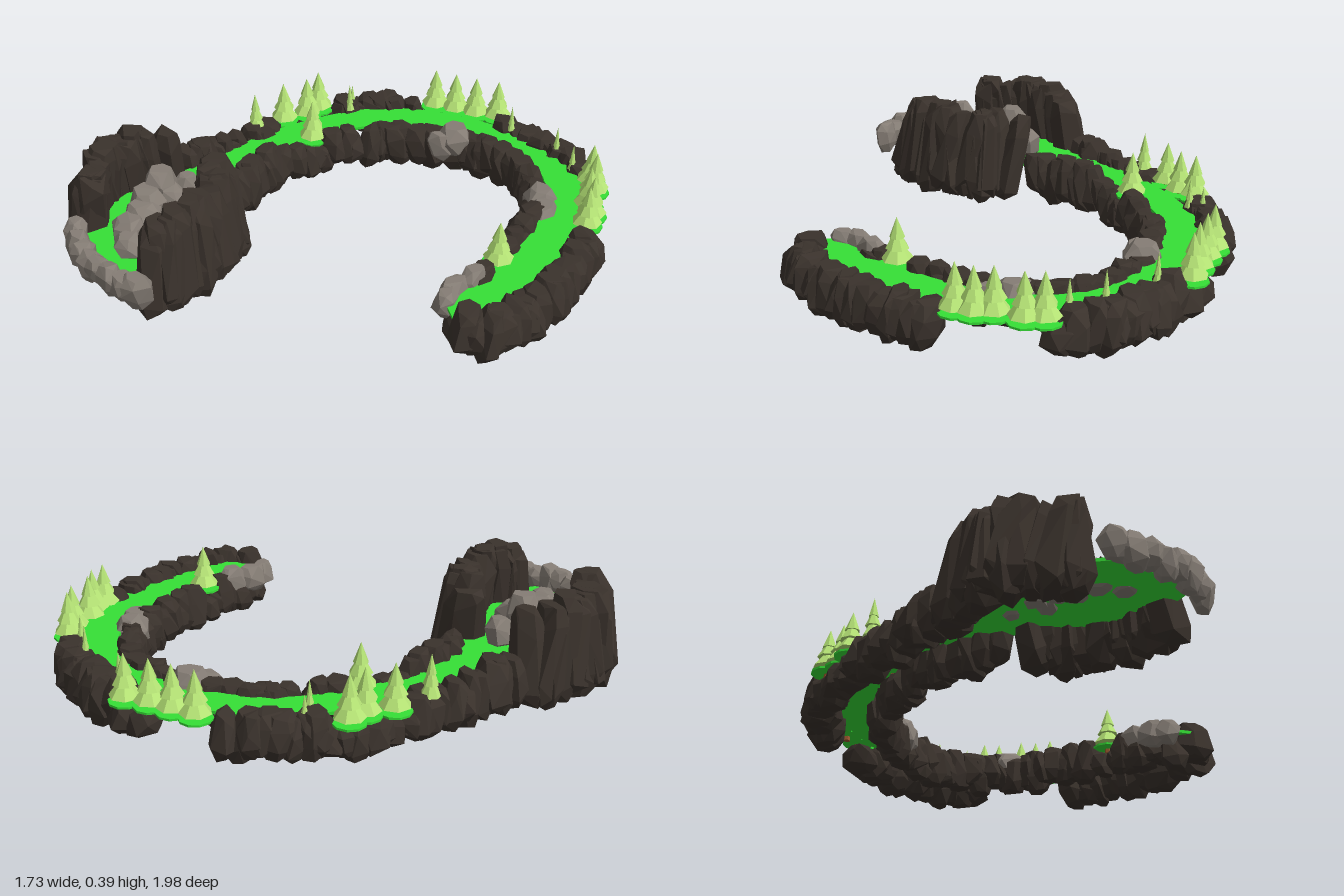
import * as THREE from 'three';
import { mergeGeometries } from 'three/addons/utils/BufferGeometryUtils.js';
import { ConvexGeometry } from 'three/addons/geometries/ConvexGeometry.js';

let seed = 7;
const rnd = (a = 0, b = 1) => {
  seed = (seed * 16807) % 2147483647;
  return a + (b - a) * (seed / 2147483647);
};

const mat = (color) => new THREE.MeshStandardMaterial({ color, flatShading: true });
const darkRock = mat(0x3a322c);
const greyRock = mat(0x857d75);
const grass = mat(0x36e036);
const leaf = mat(0xb6e476);
const bark = mat(0x9a5a30);

// Stone profiles: [level, relative size] per ring
const SLAB = [[0, 0.6], [0.28, 1], [0.72, 0.92], [1, 0.65]];
const TALL = [[0, 0.6], [0.16, 1], [0.8, 0.9], [1, 0.6]];
const ROUND = [[0, 0.55], [0.3, 1], [0.7, 1], [1, 0.6]];

const spline = (pts) => new THREE.CatmullRomCurve3(pts.map(([x, z]) => new THREE.Vector3(x, 0, z)));

function part(name, geometries, material) {
  const mesh = new THREE.Mesh(mergeGeometries(geometries), material);
  mesh.name = name;
  return mesh;
}

// Faceted stone: jittered rings wrapped in a hull. lean shifts the top along local z, slant along local x
function stone(x, y, z, w, h, d, turn, rings, lean = 0, slant = 0) {
  const pts = [];
  for (const [level, size] of rings) {
    const start = rnd(0, 6);
    for (let i = 0; i < 6; i++) {
      const a = start + (i / 6) * Math.PI * 2;
      const r = size * rnd(0.82, 1.13) / 2;
      pts.push(new THREE.Vector3(
        Math.cos(a) * r * w + slant * level,
        h * Math.max(0, Math.min(1, level + rnd(-0.1, 0.1))),
        Math.sin(a) * r * d + lean * level));
    }
  }
  return new ConvexGeometry(pts).rotateY(turn).translate(x, y, z);
}

// Row of overlapping stones following a curve; top(t, p) gives the crest height
function cliff(name, pts, { step, width, depth, top, rings = SLAB, lean = 0, slant = 0.03 }) {
  const curve = spline(pts);
  const n = Math.round(curve.getLength() / step);
  const stones = [];
  for (let i = 0; i <= n; i++) {
    const p = curve.getPointAt(i / n);
    const t = curve.getTangentAt(i / n);
    const base = rnd(0.01, 0.055);
    stones.push(stone(
      p.x + rnd(-0.01, 0.01), base, p.z + rnd(-0.01, 0.01),
      width * rnd(0.75, 1.3), top(i / n, p) - base + rnd(-0.025, 0.005), depth * rnd(0.88, 1.12),
      Math.atan2(-t.z, t.x) + rnd(-0.25, 0.25), rings, lean, slant * rnd(-0.5, 1.5)));
  }
  return part(name, stones, darkRock);
}

// Grey boulder given by its centre
const boulder = ([x, y, z, w, h, d, turn = 0]) => stone(x, y - h / 2, z, w, h, d, turn, ROUND);

// Three-tier conifer with a short trunk on a small turf pad
function tree(x, z, height = 0.172, radius = 0.057, pad = true) {
  const g = new THREE.Group();
  g.name = 'tree';
  const tiers = [[0, 0.5, 1], [0.27, 0.48, 0.74], [0.52, 0.48, 0.48]].map(([from, tall, r], i) =>
    new THREE.ConeGeometry(radius * r, height * 0.9 * tall, 7)
      .rotateY(i * 0.4)
      .translate(0, height * (0.1 + 0.9 * (from + tall / 2)), 0));
  g.add(part('foliage', tiers, leaf));
  g.add(part('trunk', [new THREE.CylinderGeometry(radius * 0.2, radius * 0.24, 0.05, 6)], bark));
  if (pad) g.add(part('turf', [new THREE.CylinderGeometry(0.06, 0.06, 0.008, 10).translate(0, -0.004, 0)], grass));
  g.position.set(x, 0.16, z);
  g.rotation.y = rnd(0, 3);
  return g;
}

export function createModel() {
  seed = 7;
  const model = new THREE.Group();
  model.name = 'cliffPath';

  // Grass path: one closed outline from its outer and inner edges
  const outerEdge = spline([[0.67, 0.16], [0.72, 0.05], [0.72, -0.15], [0.68, -0.4], [0.58, -0.63], [0.38, -0.81],
    [0.1, -0.88], [-0.1, -0.85], [-0.35, -0.74], [-0.54, -0.57], [-0.64, -0.35], [-0.69, -0.1], [-0.69, 0.1],
    [-0.68, 0.3], [-0.7, 0.45], [-0.69, 0.62], [-0.62, 0.78], [-0.53, 0.91]]);
  const innerEdge = spline([[-0.23, 0.94], [-0.2, 0.83], [-0.23, 0.65], [-0.33, 0.46], [-0.45, 0.28], [-0.53, 0.14],
    [-0.56, 0], [-0.54, -0.18], [-0.48, -0.4], [-0.38, -0.55], [-0.22, -0.67], [0, -0.75], [0.12, -0.76],
    [0.28, -0.71], [0.42, -0.56], [0.51, -0.38], [0.56, -0.15], [0.58, 0.02], [0.61, 0.13]]);
  const outline = [...outerEdge.getSpacedPoints(60), ...innerEdge.getSpacedPoints(60)];
  const shape = new THREE.Shape(outline.map((p) => new THREE.Vector2(p.x, -p.z)));
  const path = new THREE.ExtrudeGeometry(shape, { depth: 0.012, bevelEnabled: false })
    .rotateX(-Math.PI / 2).translate(0, 0.15, 0);
  model.add(part('grassPath', [path], grass));

  // Trees along the edges of the path
  const tall = [[-0.4, -0.77], [-0.32, -0.81], [-0.24, -0.85], [-0.16, -0.9], [0.42, -0.83], [0.47, -0.79],
    [0.52, -0.7], [0.57, -0.66], [0.6, -0.6], [0.54, -0.19], [-0.71, -0.38], [-0.7, -0.31], [-0.73, -0.21],
    [-0.54, -0.21]];
  const small = [[-0.74, -0.07, 0.17, 0.038], [-0.04, -0.86, 0.12, 0.018], [0.2, -0.87, 0.13, 0.018],
    [0.32, -0.83, 0.12, 0.018], [-0.6, -0.46, 0.13, 0.02], [-0.63, -0.5, 0.1, 0.016]];
  tall.forEach(([x, z]) => model.add(tree(x, z)));
  small.forEach(([x, z, h, r]) => model.add(tree(x, z, h, r, false)));
  const nearTree = (p) => tall.some(([x, z]) => Math.hypot(p.x - x, p.z - z) < 0.08);

  // Low outer cliffs, broken where the two tree clumps overhang
  const outerRows = [
    [[0.69, 0.15], [0.77, 0.07], [0.785, -0.05], [0.755, -0.3], [0.68, -0.52]],
    [[0.37, -0.865], [0.25, -0.895], [0.12, -0.915], [-0.05, -0.9], [-0.19, -0.865]],
    [[-0.48, -0.71], [-0.63, -0.54], [-0.7, -0.35], [-0.73, -0.15], [-0.735, 0.05], [-0.74, 0.27]],
  ];
  for (const row of outerRows) {
    model.add(cliff('outerCliff', row, {
      step: 0.043, width: 0.12, depth: 0.15, lean: -0.015,
      top: (t, p) => (nearTree(p) ? 0.16 : p.z > 0.17 ? 0.23 : 0.205),
    }));
  }

  // Low inner cliff
  model.add(cliff('innerCliff', [[0.62, 0.11], [0.57, 0], [0.54, -0.12], [0.49, -0.28], [0.44, -0.42], [0.36, -0.57],
    [0.25, -0.67], [0.1, -0.715], [-0.08, -0.695], [-0.24, -0.61], [-0.37, -0.49], [-0.45, -0.35], [-0.5, -0.2],
    [-0.525, -0.05], [-0.5, 0.1], [-0.46, 0.25]],
  {
    step: 0.045, width: 0.12, depth: 0.12, lean: 0.01,
    top: (t, p) => (nearTree(p) || t < 0.06 ? 0.155 : t > 0.88 ? 0.225 : 0.195),
  }));

  // Tall cliffs enclosing the wide end, leaning inwards
  const tallCliff = {
    step: 0.033, width: 0.12, depth: 0.17, rings: TALL, slant: 0.06,
    top: (t) => 0.4 - 0.03 * Math.abs(2 * t - 1) ** 3,
  };
  model.add(cliff('tallCliffRight', [[-0.755, 0.36], [-0.785, 0.48], [-0.785, 0.6], [-0.745, 0.72], [-0.645, 0.82]],
    { ...tallCliff, lean: -0.05 }));
  model.add(cliff('tallCliffLeft', [[-0.18, 0.81], [-0.165, 0.7], [-0.19, 0.56], [-0.25, 0.44], [-0.36, 0.36]],
    { ...tallCliff, lean: -0.045 }));

  // Boulder wall across the open front
  const wall = spline([[-0.54, 0.9], [-0.47, 0.93], [-0.33, 0.95], [-0.22, 0.935], [-0.14, 0.9]]);
  const wallStones = [];
  for (let i = 0; i <= 7; i++) {
    const p = wall.getPointAt(i / 7);
    const t = wall.getTangentAt(i / 7);
    wallStones.push(boulder([p.x, 0.19 + rnd(-0.02, 0.02), p.z, rnd(0.1, 0.15), rnd(0.1, 0.14), 0.09,
      Math.atan2(-t.z, t.x) + rnd(-0.3, 0.3)]));
  }
  model.add(part('boulderWall', wallStones, greyRock));

  // Boulder pile in the middle of the wide end
  model.add(part('boulderPile', [
    [-0.53, 0.42, 0.1, 0.12], [-0.53, 0.53, 0.14, 0.19], [-0.48, 0.53, 0.13, 0.14], [-0.51, 0.61, 0.15, 0.15],
    [-0.47, 0.66, 0.15, 0.13], [-0.45, 0.73, 0.14, 0.11], [-0.38, 0.78, 0.12, 0.09],
  ].map(([x, z, w, h]) => boulder([x, 0.14 + h / 2, z, w, h, w, rnd(0, 3)])), greyRock));

  // Boulders leaning on the inner cliff
  model.add(part('innerBoulders', [
    [-0.17, 0.14, -0.66, 0.16, 0.14, 0.14, 0.3], [-0.19, 0.13, -0.61, 0.14, 0.12, 0.11, 0.5],
    [0.36, 0.13, -0.61, 0.16, 0.14, 0.13, -0.8], [0.43, 0.13, -0.55, 0.15, 0.12, 0.12, -0.8],
    [0.555, 0.15, -0.05, 0.09, 0.12, 0.14], [0.55, 0.145, 0.04, 0.09, 0.11, 0.14], [0.57, 0.145, 0.1, 0.09, 0.1, 0.13, 0.5],
  ].map(boulder), greyRock));

  return model;
}
